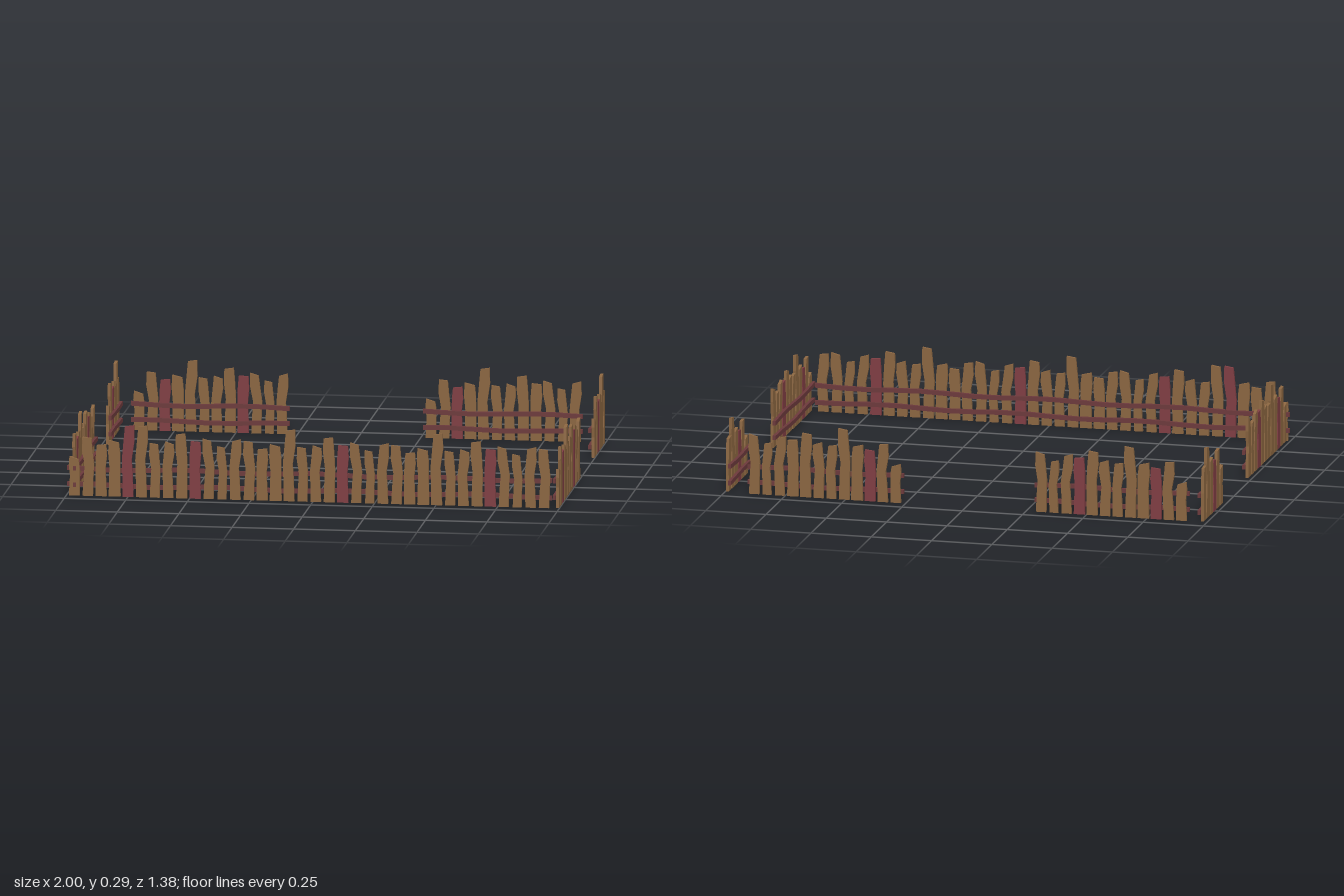
import * as THREE from 'three';

const wood = new THREE.MeshStandardMaterial({ color: 0x8a6540 });
wood.name = 'brownWood';
const red = new THREE.MeshStandardMaterial({ color: 0x7f3d42 });
red.name = 'redWood';
const railWood = new THREE.MeshStandardMaterial({ color: 0x6c393b });
railWood.name = 'railWood';

const THICK = 0.012;

// Picket patterns: [height, width, mid shift, upper shift, top slope]
const PICKETS = [
  [0.16, 0.043, 0.002, -0.001, -0.012],
  [0.24, 0.042, 0.007, -0.002, -0.004],
  [0.212, 0.045, -0.003, 0.001, 0.004],
  [0.23, 0.048, 0.001, -0.002, -0.010],
  [0.293, 0.044, -0.005, 0.004, 0.006],
  [0.222, 0.040, 0.004, -0.003, -0.005],
  [0.23, 0.042, -0.005, 0.003, -0.012],
  [0.265, 0.045, 0.003, -0.003, 0.006],
  [0.234, 0.046, -0.002, 0.001, -0.003],
  [0.246, 0.040, 0.006, -0.005, -0.010],
  [0.216, 0.036, 0.005, -0.003, -0.006],
  [0.247, 0.042, -0.005, 0.003, 0.010],
];

// Flat board cut from an outline
function board(name, points, depth, z, material) {
  const shape = new THREE.Shape(points.map(([x, y]) => new THREE.Vector2(x, y)));
  const geo = new THREE.ExtrudeGeometry(shape, { depth, bevelEnabled: false });
  geo.translate(0, 0, z);
  const mesh = new THREE.Mesh(geo, material);
  mesh.name = name;
  return mesh;
}

// Crooked picket with a slanted top; flip mirrors it along the fence
function picket(centre, spec, flip, material) {
  const [h, w, mid, upper, slope] = spec;
  const rows = [
    [0, 0, w / 2],
    [0.3, mid * 0.4, w * 0.47],
    [0.52, mid, w * 0.45],
    [0.78, upper, w * 0.5],
    [1, upper * 1.5, w * 0.42],
  ];
  const side = (s) => rows.map(([t, c, half], i) => {
    const drop = i === 4 ? Math.min(0, s * slope) : 0;
    return [flip * (centre + c + s * half), t * h + drop];
  });
  return board('picket', [...side(1), ...side(-1).reverse()], THICK, 0, material);
}

// Slightly wavy rail behind the pickets
function rail(x0, x1, y, flip, phase) {
  const n = Math.max(3, Math.round((x1 - x0) / 0.11));
  const edge = (half) => Array.from({ length: n + 1 }, (_, i) => [
    flip * (x0 + ((x1 - x0) * i) / n),
    y + 0.004 * Math.sin(i * 1.3 + phase) + half,
  ]);
  return board('rail', [...edge(-0.009), ...edge(0.009).reverse()], THICK, -THICK, railWood);
}

// Fence run from `start` to `end`, its pickets facing local +z
function fence(name, { start, end, list, reds, flip = 1 }) {
  const group = new THREE.Group();
  group.name = name;
  const pitch = (end - start) / list.length;
  list.forEach((k, i) => {
    group.add(picket(start + (i + 0.5) * pitch, PICKETS[k], flip, reds.includes(i) ? red : wood));
  });
  group.add(rail(start - 0.004, end + 0.004, 0.042, flip, 0.6));
  group.add(rail(start - 0.004, end + 0.004, 0.108, flip, 2.2));
  return group;
}

export function createModel() {
  const model = new THREE.Group();
  model.name = 'picketFence';
  const twelve = PICKETS.map((_, i) => i);

  // Long front run: the pattern repeats every eleven pickets
  const frontList = [0, 1, 2, 3, 4];
  for (let i = 5; i < 36; i++) frontList.push(i < 13 ? i - 1 : ((i - 13) % 11) + 1);
  const front = fence('frontFence', { start: -0.995, end: 0.965, list: frontList, reds: [4, 9, 20, 31] });
  front.position.z = 0.675;
  model.add(front);

  // Two back runs with an opening between them
  const backRuns = [
    ['backRightFence', -0.92, -0.285, [2, 8]],
    ['backLeftFence', 0.265, 0.905, [2]],
  ];
  for (const [name, start, end, reds] of backRuns) {
    const run = fence(name, { start, end, list: twelve, reds, flip: -1 });
    run.rotation.y = Math.PI;
    run.position.z = -0.678;
    model.add(run);
  }

  // Mirrored sides, each with a long and a short run
  for (const s of [1, -1]) {
    const label = s > 0 ? 'left' : 'right';
    const runs = [
      fence(label + 'LongFence', { start: -0.685, end: -0.045, list: twelve, reds: [2, 8], flip: s }),
      fence(label + 'ShortFence', { start: 0.36, end: 0.685, list: twelve.slice(0, 6), reds: [2], flip: s }),
    ];
    for (const run of runs) {
      run.rotation.y = (s * Math.PI) / 2;
      run.position.x = s > 0 ? 0.986 : -0.972;
      model.add(run);
    }
  }
  return model;
}
